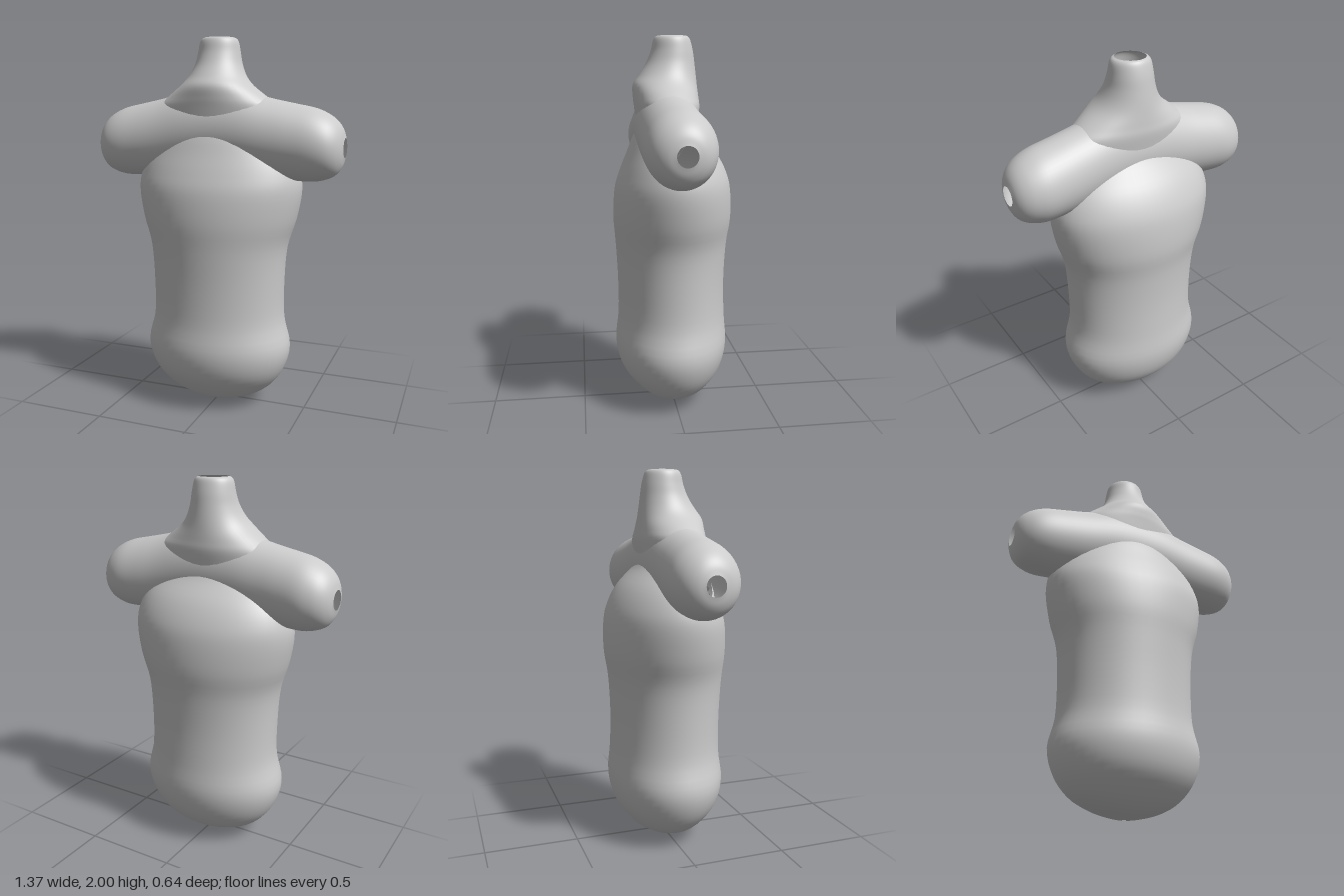
import * as THREE from 'three';

const SEGMENTS = 48;

// Each section: [position on axis, u max, u min, v max, v min], an ellipse in the u-v plane.
// Upright parts use u = x, v = z; the shoulders run along x with u = y, v = z.
const upright = rows => rows.map(([y, halfWidth, front, back]) => [y, halfWidth, -halfWidth, front, back]);

const torsoRows = upright([
  [0.005, 0.01, 0.01, -0.01],
  [0.02, 0.1, 0.075, -0.07],
  [0.05, 0.2, 0.14, -0.13],
  [0.11, 0.3, 0.21, -0.205],
  [0.21, 0.375, 0.285, -0.27],
  [0.34, 0.408, 0.315, -0.3],
  [0.5, 0.372, 0.3, -0.29],
  [0.7, 0.37, 0.3, -0.285],
  [0.9, 0.385, 0.31, -0.295],
  [1.05, 0.43, 0.32, -0.315],
  [1.2, 0.457, 0.31, -0.31],
  [1.3, 0.445, 0.28, -0.285],
  [1.4, 0.395, 0.24, -0.23],
  [1.5, 0.3, 0.2, -0.14],
  [1.58, 0.2, 0.15, -0.09],
  [1.62, 0.02, 0.04, -0.02],
]);

const neckRows = upright([
  [1.56, 0.36, 0.19, -0.13],
  [1.64, 0.34, 0.2, -0.14],
  [1.69, 0.28, 0.206, -0.137],
  [1.75, 0.2, 0.207, -0.132],
  [1.8, 0.155, 0.175, -0.127],
  [1.86, 0.127, 0.137, -0.12],
  [1.92, 0.114, 0.112, -0.112],
  [1.97, 0.105, 0.1, -0.1],
  [1.992, 0.094, 0.09, -0.09],
  [2.0, 0.078, 0.078, -0.078],
]);

const shoulderHalf = [
  [0.685, 1.49, 1.39, 0.068, -0.032],
  [0.672, 1.535, 1.345, 0.11, -0.07],
  [0.645, 1.575, 1.305, 0.148, -0.105],
  [0.6, 1.61, 1.28, 0.178, -0.133],
  [0.53, 1.64, 1.265, 0.195, -0.15],
  [0.42, 1.663, 1.268, 0.2, -0.146],
  [0.3, 1.688, 1.28, 0.202, -0.138],
  [0.15, 1.725, 1.3, 0.205, -0.135],
];
const shoulderRows = [
  ...shoulderHalf,
  [0, 1.735, 1.31, 0.205, -0.135],
  ...[...shoulderHalf].reverse().map(([x, ...size]) => [-x, ...size]),
];

// Smoothly adds sections between the given ones.
function refine(rows, steps = 4) {
  const curve = (a, b) => new THREE.CatmullRomCurve3(
    rows.map(r => new THREE.Vector3(r[0], r[a], r[b])), false, 'catmullrom', 0.5);
  const u = curve(1, 2), v = curve(3, 4);
  const count = (rows.length - 1) * steps;
  return Array.from({ length: count + 1 }, (_, i) => {
    const p = u.getPoint(i / count), q = v.getPoint(i / count);
    return [p.x, p.y, p.z, q.y, q.z];
  });
}

// True when a point lies well inside a lofted part.
function isInside(part, p) {
  const [t, u] = part.axis === 'y' ? [p.y, p.x] : [p.x, p.y];
  const rows = part.rows;
  for (let i = 0; i + 1 < rows.length; i++) {
    const a = rows[i], b = rows[i + 1];
    if ((t - a[0]) * (t - b[0]) > 0) continue;
    const k = (t - a[0]) / (b[0] - a[0] || 1);
    const [, u1, u0, v1, v0] = a.map((value, j) => THREE.MathUtils.lerp(value, b[j], k));
    return Math.hypot((2 * u - u1 - u0) / (u1 - u0), (2 * p.z - v1 - v0) / (v1 - v0)) < 0.96;
  }
  return false;
}

// Lofts a part, leaving out the faces buried in its neighbours so the form stays hollow.
function loft(part, others) {
  const points = [], index = [];
  for (const [t, u1, u0, v1, v0] of part.rows) {
    for (let j = 0; j < SEGMENTS; j++) {
      const angle = j / SEGMENTS * Math.PI * 2;
      const u = (u1 + u0) / 2 + (u1 - u0) / 2 * Math.cos(angle);
      const v = (v1 + v0) / 2 + (v1 - v0) / 2 * Math.sin(angle);
      points.push(part.axis === 'y' ? new THREE.Vector3(u, t, v) : new THREE.Vector3(t, u, v));
    }
  }
  for (let i = 0; i + 1 < part.rows.length; i++) {
    for (let j = 0; j < SEGMENTS; j++) {
      const a = i * SEGMENTS + j, b = i * SEGMENTS + (j + 1) % SEGMENTS;
      index.push(a, a + SEGMENTS, b, b, a + SEGMENTS, b + SEGMENTS);
    }
  }
  const geometry = new THREE.BufferGeometry().setFromPoints(points);
  geometry.setIndex(index);
  geometry.computeVertexNormals();

  const buried = points.map(p => others.some(other => isInside(other, p)));
  const kept = [];
  for (let i = 0; i < index.length; i += 3) {
    const face = index.slice(i, i + 3);
    if (!face.every(n => buried[n])) kept.push(...face);
  }
  geometry.setIndex(kept);
  return geometry;
}

export function createModel() {
  const group = new THREE.Group();
  group.name = 'torsoForm';
  const material = new THREE.MeshStandardMaterial({ color: 0xcccccc, side: THREE.DoubleSide });

  // Rounded trunk, shoulder yoke open at both ends, flared neck open at the top
  const parts = [
    { name: 'torso', axis: 'y', rows: refine(torsoRows) },
    { name: 'shoulders', axis: 'x', rows: refine(shoulderRows) },
    { name: 'neck', axis: 'y', rows: refine(neckRows) },
  ];
  for (const part of parts) {
    const mesh = new THREE.Mesh(loft(part, parts.filter(other => other !== part)), material);
    mesh.name = part.name;
    group.add(mesh);
  }
  return group;
}
